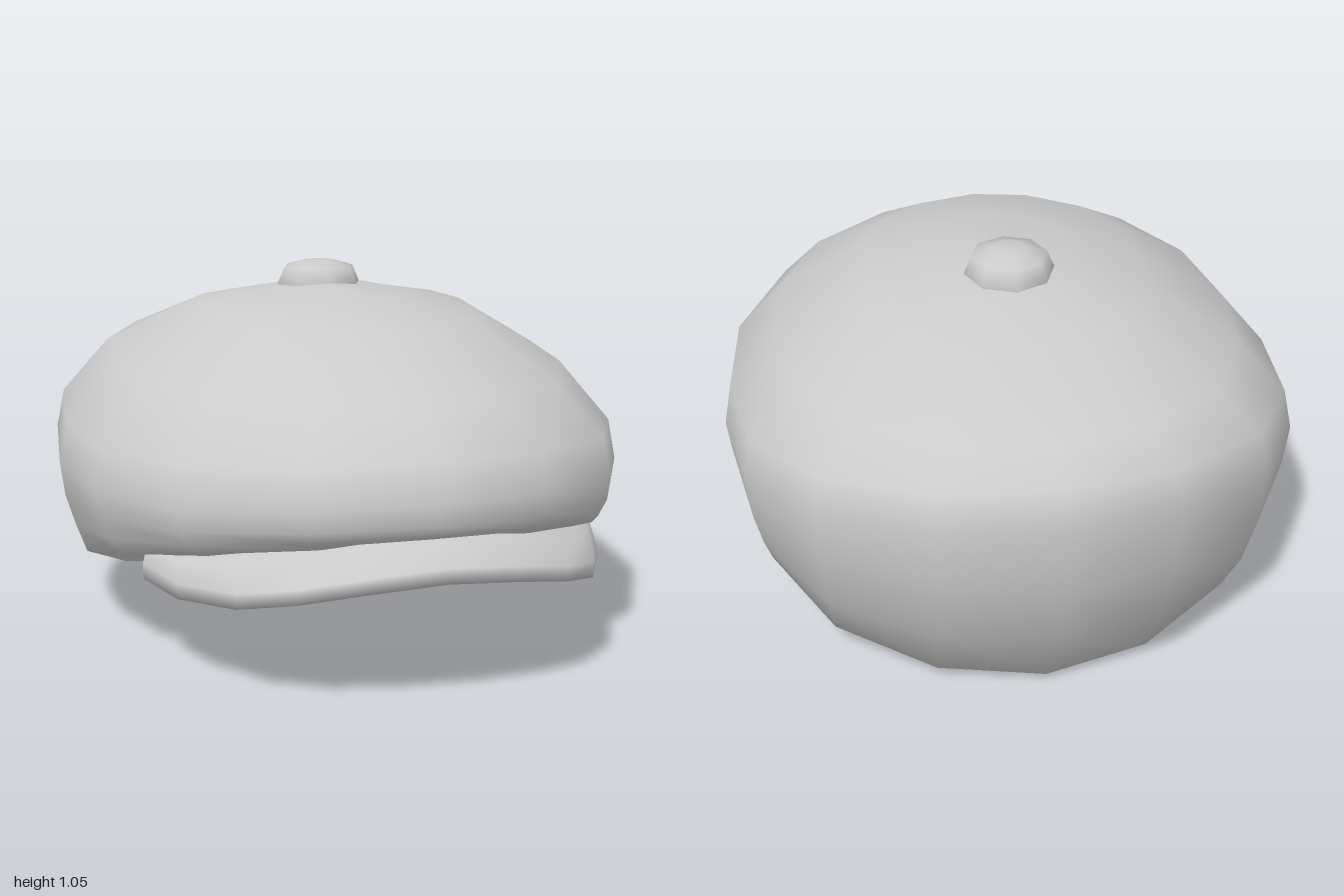
import * as THREE from 'three';

const material = new THREE.MeshStandardMaterial({ color: 0xcccccc, side: THREE.DoubleSide });

// Skin a list of closed cross-sections (equal point counts) with smooth normals
function loft(rows, name) {
  const n = rows[0].length;
  const index = [];
  for (let i = 0; i < rows.length - 1; i++) {
    for (let j = 0; j < n; j++) {
      const k = (j + 1) % n;
      const a = i * n + j, b = (i + 1) * n + j, c = (i + 1) * n + k, d = i * n + k;
      index.push(a, b, c, a, c, d);
    }
  }
  const geometry = new THREE.BufferGeometry();
  geometry.setAttribute('position', new THREE.Float32BufferAttribute(rows.flat(2), 3));
  geometry.setIndex(index);
  geometry.computeVertexNormals();
  const mesh = new THREE.Mesh(geometry, material);
  mesh.name = name;
  return mesh;
}

// Tilted, slightly squared oval through a front and a back point, widest a little
// behind its middle; sideY is its height at the sides
function ring([frontZ, frontY, backZ, backY, halfWidth, sideY], segments = 16) {
  const points = [];
  for (let j = 0; j < segments; j++) {
    const a = (j / segments) * Math.PI * 2;
    const s = Math.sin(a), c = Math.cos(a);
    const midY = (frontY + backY) / 2;
    points.push([
      halfWidth * s * (1 + 0.05 * Math.sin(2 * a) ** 2),
      midY + ((frontY - backY) / 2) * c + (sideY - midY) * s * s,
      (frontZ + backZ) / 2 + ((frontZ - backZ) / 2) * c - 0.045 * halfWidth * s * s,
    ]);
  }
  return points;
}

// Crown: from the top down to the folded-in rim, then back up as the lining
function crown() {
  const outer = [
    [-0.04, 0.995, -0.04, 0.995, 0, 0.995],
    [0.22, 0.963, -0.3, 0.98, 0.21, 0.97],
    [0.48, 0.91, -0.56, 0.925, 0.415, 0.935],
    [0.77, 0.76, -0.87, 0.83, 0.66, 0.79],
    [0.91, 0.65, -0.96, 0.765, 0.805, 0.61],
    [0.94, 0.55, -1.0, 0.67, 0.827, 0.49],
    [0.935, 0.49, -0.985, 0.46, 0.815, 0.395],
    [0.915, 0.46, -0.92, 0.25, 0.79, 0.31],
    [0.88, 0.435, -0.79, 0.02, 0.765, 0.238],
  ];
  const rim = [0.76, 0.4, -0.68, 0.0, 0.65, 0.197];
  const t = 0.025;
  const lining = outer.map(([fz, fy, bz, by, w, sy], i) => {
    const dy = i < 4 ? -t : i > 6 ? t : 0;
    return i === 0
      ? [fz, fy - t, bz, by - t, 0, sy - t]
      : [fz - t, fy + dy, bz + t, by + dy, w - t, sy + dy];
  }).reverse();
  return loft([...outer, rim, ...lining].map((r) => ring(r)), 'crown');
}

// Visor: arched crescent, one section per station from right to left
function visor() {
  // outer x, z, underside y; inner x, z, underside y
  const half = [
    [0, 1.0, 0.355, 0, 0.6, 0.42],
    [0.21, 0.97, 0.335, 0.14, 0.59, 0.415],
    [0.37, 0.91, 0.305, 0.31, 0.5, 0.38],
    [0.5, 0.79, 0.27, 0.48, 0.41, 0.33],
    [0.61, 0.57, 0.243, 0.56, 0.39, 0.295],
    [0.67, 0.4, 0.258, 0.62, 0.38, 0.265],
  ];
  const mirrored = half.slice(1).reverse().map(([x, z, y, ix, iz, iy]) => [-x, z, y, -ix, iz, iy]);
  const rows = [...mirrored, ...half].map(([x, z, y, ix, iz, iy]) => {
    const at = (f, h) => [x + (ix - x) * f, y + (iy - y) * f + h, z + (iz - z) * f];
    return [at(0, 0.045), at(0.22, 0.082), at(0.6, 0.07), at(1, 0.045), at(1, 0), at(0.02, 0)];
  });
  // Close both ends
  const cap = (row) => {
    const mid = [0, 1, 2].map((k) => row.reduce((sum, p) => sum + p[k], 0) / row.length);
    return row.map(() => mid);
  };
  return loft([cap(rows[0]), ...rows, cap(rows[rows.length - 1])], 'visor');
}

// Button on top of the crown
function button() {
  const profile = [[0.115, 0.96], [0.13, 0.985], [0.108, 1.035], [0.05, 1.052], [0, 1.055]]
    .map(([r, y]) => new THREE.Vector2(r, y));
  const mesh = new THREE.Mesh(new THREE.LatheGeometry(profile, 8), material);
  mesh.position.z = -0.18;
  mesh.name = 'topButton';
  return mesh;
}

export function createModel() {
  const cap = new THREE.Group();
  cap.name = 'flatCap';
  cap.add(crown(), visor(), button());
  return cap;
}
